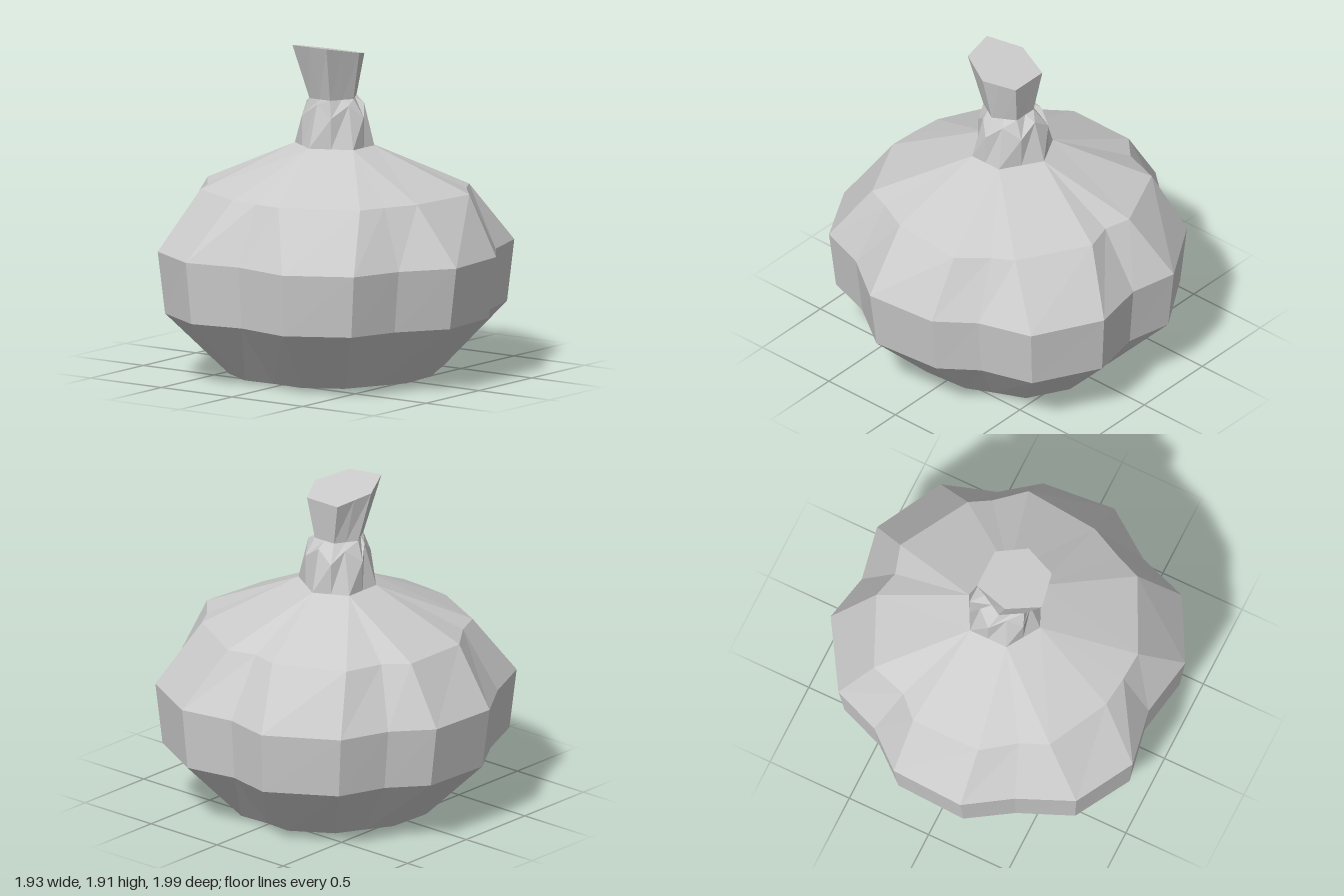
import * as THREE from 'three';

// Joins rings of [x, y, z] points, listed from bottom to top, into flat-shaded faces.
function loft(name, rings, capBottom, capTop) {
  const pos = [];
  const tri = (a, b, c) => pos.push(...a, ...b, ...c);
  const n = rings[0].length;
  for (let r = 0; r < rings.length - 1; r++) {
    for (let i = 0; i < n; i++) {
      const j = (i + 1) % n;
      const a = rings[r][i], b = rings[r][j], c = rings[r + 1][j], d = rings[r + 1][i];
      if (a !== b) tri(a, d, b);
      if (c !== d) tri(b, d, c);
    }
  }
  const last = rings[rings.length - 1];
  for (let i = 0; i < n; i++) {
    const j = (i + 1) % n;
    if (capBottom) tri(capBottom, rings[0][i], rings[0][j]);
    if (capTop) tri(capTop, last[j], last[i]);
  }
  const geo = new THREE.BufferGeometry();
  geo.setAttribute('position', new THREE.Float32BufferAttribute(pos, 3));
  geo.computeVertexNormals();
  const mesh = new THREE.Mesh(geo, new THREE.MeshStandardMaterial({
    color: 0xcccccc, flatShading: true, side: THREE.DoubleSide }));
  mesh.name = name;
  return mesh;
}

// Outlines as x, z pairs; every third point is a groove between two ribs.
const WIDEST = [
  [0.90, -0.02], [0.96, 0.30], [0.75, 0.69], [0.44, 0.79], [0.23, 0.95], [-0.20, 0.99],
  [-0.48, 0.79], [-0.77, 0.69], [-0.97, 0.33], [-0.91, -0.02], [-0.97, -0.35], [-0.78, -0.69],
  [-0.46, -0.83], [-0.20, -1.0], [0.23, -0.98], [0.44, -0.80], [0.72, -0.69], [0.96, -0.30]];
const SHOULDER = [
  [0.69, -0.02], [0.74, 0.15], [0.51, 0.55], [0.39, 0.62], [0.23, 0.76], [-0.21, 0.72],
  [-0.40, 0.63], [-0.55, 0.57], [-0.76, 0.15], [-0.75, -0.02], [-0.73, -0.20], [-0.55, -0.56],
  [-0.39, -0.63], [-0.20, -0.77], [0.21, -0.77], [0.33, -0.65], [0.55, -0.58], [0.73, -0.18]];
const STEM_BASE = [[0.22, -0.03], [0.08, 0.20], [-0.12, 0.20], [-0.23, -0.03], [-0.11, -0.22], [0.12, -0.22]];
const STEM_TOP = [[0.12, 0.10], [-0.05, 0.19], [-0.24, 0.10], [-0.28, -0.11], [-0.09, -0.20], [0.12, -0.13]];

const mid = (a, b) => a.map((v, k) => (v + b[k]) / 2);

export function createModel() {
  const group = new THREE.Group();
  group.name = 'pumpkin';

  // Ribbed body: each groove and its two neighbours meet at one corner of the stem.
  const crown = STEM_BASE.map(([x, z]) => [x, 1.315, z]);
  const body = [
    WIDEST.map(([x, z], i) => {
      const s = i % 3 ? 0.62 : 0.65;
      return [x * s, 0.015, z * s * 0.95];
    }),
    WIDEST.map(([x, z]) => [x * 0.97, 0.375, z * 0.95]),
    WIDEST.map(([x, z]) => [x, 0.73, z]),
    SHOULDER.map(([x, z]) => [x, 1.07, z]),
    WIDEST.map((p, i) => crown[Math.round(i / 3) % 6]),
  ];
  group.add(loft('body', body, [0, 0, 0], null));

  // Stem: flared root, narrow neck and a leaning, slanted cut end.
  const base = [], root = [], neck = [], cut = [];
  for (let i = 0; i < 12; i++) {
    const k = i >> 1, odd = i % 2, a = (i * Math.PI) / 6;
    const [x, z] = odd ? mid(STEM_BASE[k], STEM_BASE[(k + 1) % 6]) : STEM_BASE[k];
    const [tx, tz] = odd ? STEM_TOP[k] : mid(STEM_TOP[(k + 5) % 6], STEM_TOP[k]);
    const r = odd ? 0.145 : 0.125;
    base.push([x, 1.315, z]);
    root.push(odd ? [x, 1.49, z] : [x * 0.72, 1.56, z * 0.72]);
    neck.push([-0.03 + r * Math.cos(a), 1.59, -0.01 + r * Math.sin(a)]);
    cut.push([tx, 1.854 - 0.2 * tx, tz]);
  }
  group.add(loft('stem', [base, root, neck, cut], null, [-0.08, 1.87, -0.01]));
  return group;
}
